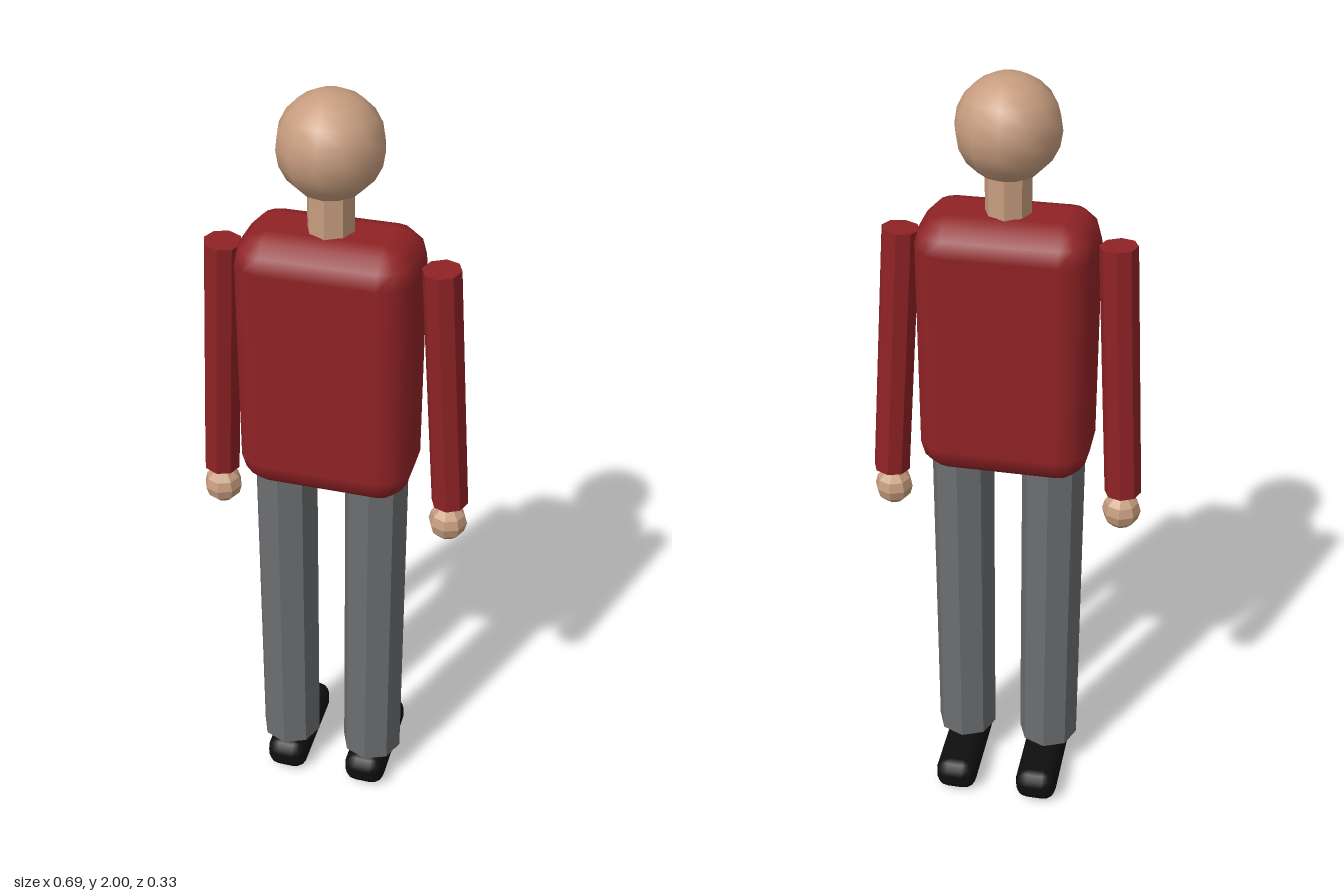
import * as THREE from 'three';

const material = (name, color, flatShading = false) => {
  const m = new THREE.MeshStandardMaterial({ color, flatShading });
  m.name = name;
  return m;
};

// Box whose edges and corners are rounded in three steps, with smooth normals
function softBox(w, h, d, r) {
  const steps = 3, cols = 4 * (steps + 1), pos = [], nor = [], idx = [];
  const half = [w / 2 - r, h / 2 - r, d / 2 - r];
  const put = (n, c) => {
    pos.push(...n.map((v, i) => v * r + c[i] * half[i]));
    nor.push(...n);
  };
  for (const sy of [-1, 1]) {
    for (let k = 0; k <= steps; k++) {
      const lat = (sy < 0 ? k - steps : k) / steps * Math.PI / 2;
      for (let q = 0; q < 4; q++) {
        const sx = q === 0 || q === 3 ? 1 : -1, sz = q < 2 ? 1 : -1;
        for (let j = 0; j <= steps; j++) {
          const a = (q + j / steps) * Math.PI / 2;
          put([Math.cos(lat) * Math.cos(a), Math.sin(lat), Math.cos(lat) * Math.sin(a)], [sx, sy, sz]);
        }
      }
    }
  }
  const rows = 2 * (steps + 1), bottom = rows * cols, top = bottom + 1;
  put([0, -1, 0], [0, -1, 0]);
  put([0, 1, 0], [0, 1, 0]);
  for (let j = 0; j < cols; j++) {
    const n = (j + 1) % cols;
    for (let i = 0; i < rows - 1; i++) {
      const a = i * cols + j, b = i * cols + n;
      idx.push(a, a + cols, b, b, a + cols, b + cols);
    }
    idx.push(bottom, j, n, top, (rows - 1) * cols + n, (rows - 1) * cols + j);
  }
  const g = new THREE.BufferGeometry();
  g.setAttribute('position', new THREE.Float32BufferAttribute(pos, 3));
  g.setAttribute('normal', new THREE.Float32BufferAttribute(nor, 3));
  g.setIndex(idx);
  return g;
}

export function createModel() {
  const model = new THREE.Group();
  model.name = 'standingFigure';

  const skinSmooth = material('skin', 0xc69c7e);
  const skinFaceted = material('skin faceted', 0xc69c7e, true);
  const shirt = material('red shirt', 0x8f2225);
  const sleeve = material('red sleeve', 0x8f2225, true);
  const trousers = material('grey trousers', 0x6b6d70, true);
  const shoe = material('black shoe', 0x0e0e0e);

  const add = (name, geometry, mat, x, y, z) => {
    const mesh = new THREE.Mesh(geometry, mat);
    mesh.name = name;
    mesh.position.set(x, y, z);
    model.add(mesh);
    return mesh;
  };

  // Eight-sided limb between two points
  const limb = (name, from, to, r, mat) => {
    const a = new THREE.Vector3(...from), dir = new THREE.Vector3(...to).sub(a);
    const mid = a.clone().addScaledVector(dir, 0.5);
    const mesh = add(name, new THREE.CylinderGeometry(r, r, dir.length(), 8), mat, mid.x, mid.y, mid.z);
    mesh.quaternion.setFromUnitVectors(new THREE.Vector3(0, 1, 0), dir.normalize());
  };

  // Head, neck and torso
  add('head', new THREE.SphereGeometry(0.123, 12, 10), skinSmooth, 0, 1.877, 0.039);
  limb('neck', [0, 1.64, 0.039], [0, 1.78, 0.039], 0.055, skinFaceted);
  add('torso', softBox(0.426, 0.675, 0.247, 0.077), shirt, 0, 1.338, 0.039);

  // Arms, hands, legs and shoes on both sides
  for (const [side, s] of [['left', 1], ['right', -1]]) {
    limb(side + 'Arm', [s * 0.297, 0.953, 0.013], [s * 0.257, 1.61, 0.041], 0.046, sleeve);
    add(side + 'Hand', new THREE.SphereGeometry(0.049, 8, 6), skinFaceted, s * 0.295, 0.896, 0.017);
    limb(side + 'Leg', [s * 0.116, 0.1, 0.04], [s * 0.116, 1.03, 0.04], 0.08, trousers);
    add(side + 'Shoe', softBox(0.112, 0.092, 0.296, 0.036), shoe, s * 0.112, 0.046, -0.016);
  }
  return model;
}
